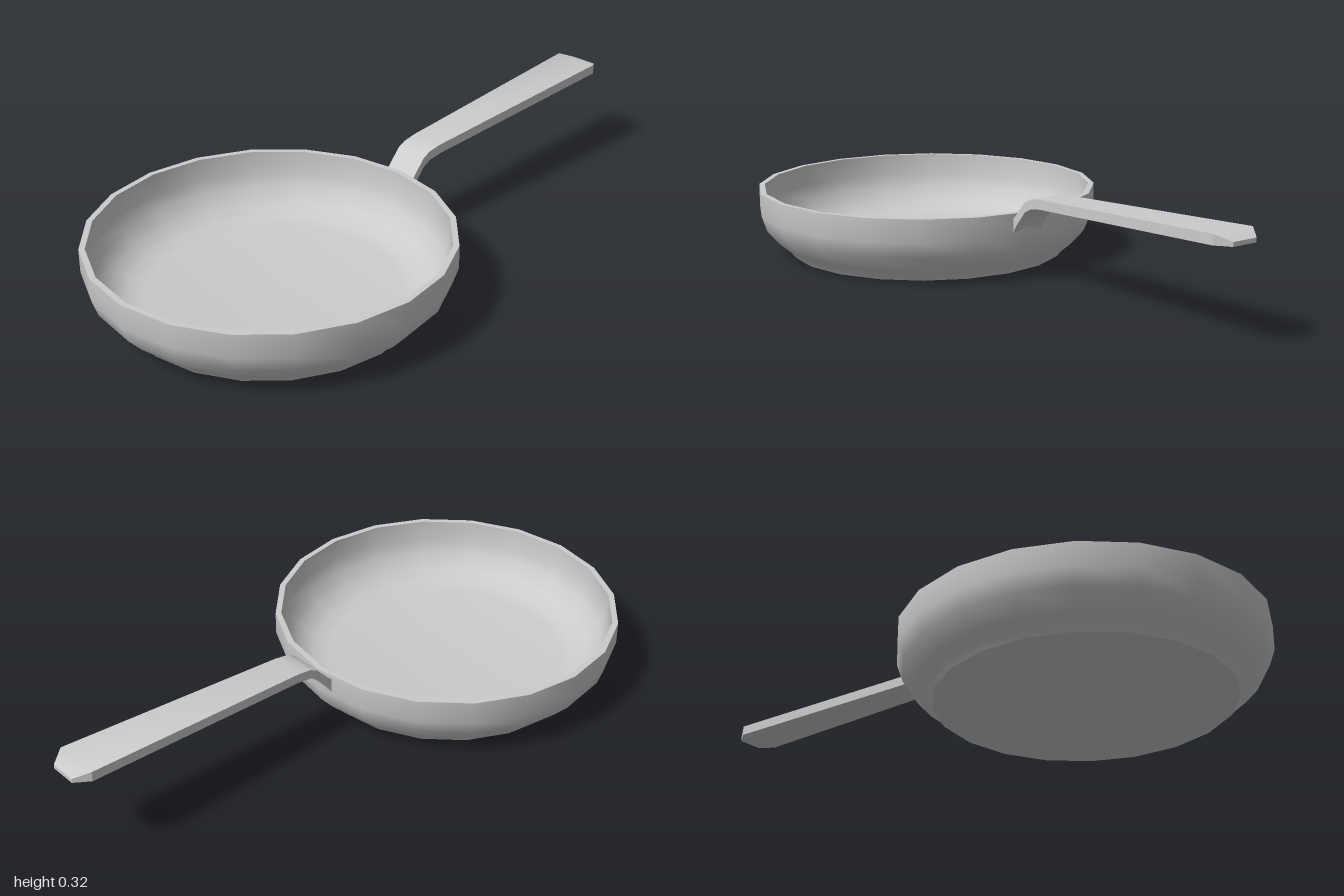
import * as THREE from 'three';
import { toCreasedNormals } from 'three/addons/utils/BufferGeometryUtils.js';

const material = new THREE.MeshStandardMaterial({ color: 0xcccccc });

// Bowl: closed wall profile, turned in 20 sides
function makeBowl() {
  const profile = [
    [0, 0], [0.441, 0], [0.453, 0.016], [0.485, 0.042], [0.528, 0.09], [0.545, 0.14], [0.545, 0.213],
    [0.527, 0.213], [0.526, 0.145], [0.51, 0.1], [0.473, 0.056], [0.43, 0.032], [0.38, 0.025], [0, 0.025],
  ].map(([r, y]) => new THREE.Vector2(r, y));
  const bowl = new THREE.Mesh(toCreasedNormals(new THREE.LatheGeometry(profile, 20), 0.6), material);
  bowl.name = 'bowl';
  bowl.position.z = 0.455;
  return bowl;
}

// Handle: rectangular sections [z, top, bottom, half width], joined from bowl to tip
function makeHandle() {
  const sections = [
    [-0.076, 0.195, 0.142, 0.053],
    [-0.092, 0.206, 0.172, 0.053],
    [-0.138, 0.257, 0.226, 0.053],
    [-0.165, 0.27, 0.24, 0.053],
    [-0.21, 0.277, 0.247, 0.054],
    [-0.955, 0.316, 0.285, 0.073],
    [-1, 0.298, 0.285, 0.042],
  ];
  const positions = [];
  const indices = [];
  for (const [z, top, bottom, w] of sections) {
    positions.push(-w, bottom, z, w, bottom, z, w, top, z, -w, top, z);
  }
  for (let i = 0; i < sections.length - 1; i++) {
    for (let k = 0; k < 4; k++) {
      const a = i * 4 + k;
      const b = i * 4 + (k + 1) % 4;
      indices.push(a, a + 4, b, b, a + 4, b + 4);
    }
  }
  // End caps
  const e = (sections.length - 1) * 4;
  indices.push(0, 1, 2, 0, 2, 3, e, e + 2, e + 1, e, e + 3, e + 2);
  const geometry = new THREE.BufferGeometry();
  geometry.setAttribute('position', new THREE.Float32BufferAttribute(positions, 3));
  geometry.setIndex(indices);
  const handle = new THREE.Mesh(toCreasedNormals(geometry, 0.6), material);
  handle.name = 'handle';
  return handle;
}

export function createModel() {
  const pan = new THREE.Group();
  pan.name = 'fryingPan';
  pan.add(makeBowl(), makeHandle());
  return pan;
}
